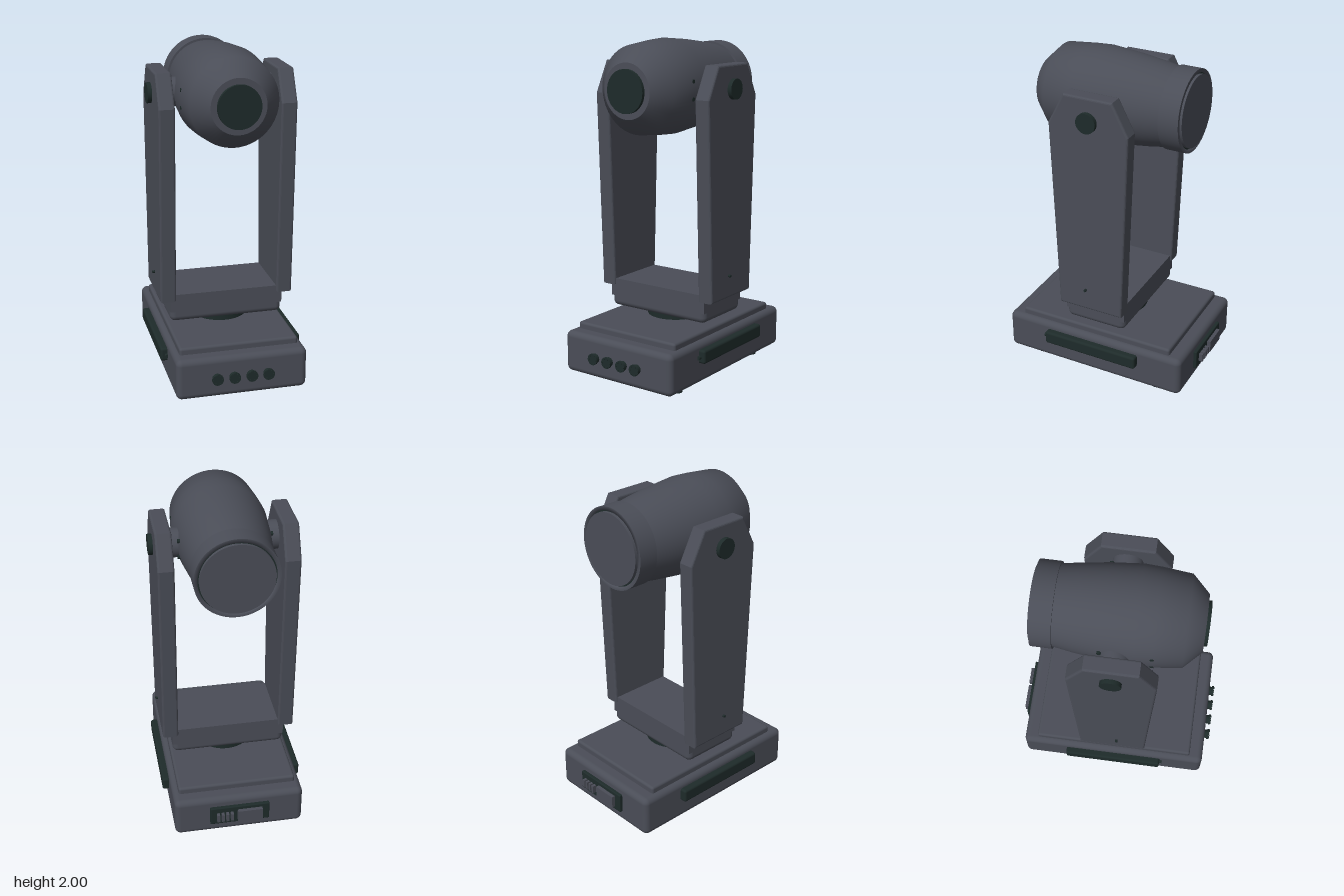
import * as THREE from 'three';
import { RoundedBoxGeometry } from 'three/addons/geometries/RoundedBoxGeometry.js';

export function createModel() {
  const model = new THREE.Group();
  const casing = new THREE.MeshStandardMaterial({ color: 0x4a4d57 });
  casing.name = 'casing grey';
  const dark = new THREE.MeshStandardMaterial({ color: 0x1e2b2a });
  dark.name = 'dark green black';

  const add = (name, geometry, material, x = 0, y = 0, z = 0, parent = model) => {
    const mesh = new THREE.Mesh(geometry, material);
    mesh.name = name;
    mesh.position.set(x, y, z);
    parent.add(mesh);
    return mesh;
  };
  const rounded = (w, h, d, r) => new RoundedBoxGeometry(w, h, d, 4, r);
  // Cylinders lying along one axis
  const cyl = (axis, r, length, sides = 32) => {
    const g = new THREE.CylinderGeometry(r, r, length, sides);
    if (axis === 'x') g.rotateZ(Math.PI / 2);
    if (axis === 'z') g.rotateX(Math.PI / 2);
    return g;
  };

  // Base housing with raised lid and feet
  add('baseHousing', rounded(0.78, 0.25, 1.17, 0.035), casing, 0, 0.16, 0);
  add('baseLid', rounded(0.71, 0.1, 1.0, 0.015), casing, 0, 0.275, 0);
  for (const x of [-0.295, 0.295])
    for (const z of [-0.4, 0.4]) add('foot', cyl('y', 0.036, 0.05, 24), dark, x, 0.025, z);

  // Front connectors
  for (const x of [-0.155, -0.053, 0.05, 0.15]) {
    add('connectorBody', cyl('z', 0.028, 0.04, 24), dark, x, 0.16, 0.596);
    add('connectorFlange', cyl('z', 0.034, 0.012, 24), dark, x, 0.16, 0.61);
    for (let i = 0; i < 6; i++) {
      const a = (i * Math.PI) / 3;
      add('connectorLug', cyl('z', 0.005, 0.006, 8), dark,
        x + 0.026 * Math.cos(a), 0.16 + 0.026 * Math.sin(a), 0.618);
    }
  }

  // Rear control panel
  add('controlPanel', rounded(0.36, 0.12, 0.04, 0.006), dark, 0, 0.168, -0.585);
  add('displayScreen', new THREE.BoxGeometry(0.15, 0.075, 0.03), casing, -0.06, 0.168, -0.612);
  for (let i = 0; i < 4; i++)
    add('panelButton', new THREE.BoxGeometry(0.017, 0.05, 0.03), casing, 0.05 + i * 0.028, 0.168, -0.615);

  // Pan bearing and yoke bridge
  add('panBearing', cyl('y', 0.17, 0.05, 48), dark, 0, 0.34, 0);
  add('yokeBridgeLower', rounded(0.69, 0.165, 0.39, 0.035), casing, 0, 0.4375, 0);
  add('yokeBridgeUpper', new THREE.BoxGeometry(0.69, 0.11, 0.39), casing, 0, 0.475, 0);

  // Tapered yoke arm outline; the bevel adds its own width
  const b = 0.012;
  const outline = [[-0.205, 0.49], [0.205, 0.49], [0.248, 1.67], [0.155, 1.86], [-0.155, 1.86], [-0.248, 1.67]]
    .map(([z, y]) => new THREE.Vector2(z - Math.sign(z) * b, y + (y < 1 ? b : y > 1.8 ? -b : 0)));
  const armGeometry = new THREE.ExtrudeGeometry(new THREE.Shape(outline), {
    depth: 0.095 - 2 * b, bevelEnabled: true, bevelThickness: b, bevelSize: b, bevelSegments: 3,
  });
  armGeometry.translate(0, 0, -(0.095 - 2 * b) / 2).rotateY(Math.PI / 2);

  for (const s of [-1, 1]) {
    add('yokeArm', armGeometry, casing, s * 0.3575, 0, 0);
    add('tiltHub', cyl('x', 0.085, 0.12), casing, s * 0.265, 1.72, 0);
    add('tiltKnob', cyl('x', 0.06, 0.04), dark, s * 0.41, 1.72, 0);
    add('armScrew', cyl('x', 0.008, 0.03, 12), dark, s * 0.405, 0.625, 0.028);
    add('sideHandle', rounded(0.06, 0.082, 0.615, 0.014), dark, s * 0.4, 0.204, 0.002);
    add('handlePin', cyl('z', 0.012, 0.04, 12), dark, s * 0.395, 0.2, 0.307);
    for (const z of [-0.083, 0.2])
      for (const y of [1.67, 1.77]) add('headBolt', cyl('x', 0.012, 0.03, 12), dark, s * 0.256, y, z);
  }

  // Lamp head, turned around the z axis
  const head = new THREE.Group();
  head.name = 'lampHead';
  head.position.y = 1.72;
  model.add(head);
  const turned = (points) =>
    new THREE.LatheGeometry(points.map(([r, z]) => new THREE.Vector2(r, z)), 64).rotateX(Math.PI / 2);
  add('headShell', turned([[0.225, -0.36], [0.228, -0.34], [0.245, -0.24], [0.265, -0.08],
    [0.28, 0.1], [0.274, 0.2], [0.257, 0.365], [0.16, 0.464]]), casing, 0, 0, 0, head);
  add('headNose', cyl('z', 0.16, 0.02, 64), casing, 0, 0, 0.454, head);
  add('rearCap', cyl('z', 0.125, 0.04, 48), dark, 0, 0, 0.464, head);

  // Front bezel ring with groove and lens
  add('lensRing', turned([[0.218, -0.44], [0.218, -0.465], [0.24, -0.465], [0.24, -0.465],
    [0.24, -0.345], [0.24, -0.345], [0.2, -0.345]]), casing, 0, 0, 0, head);
  add('lensGroove', cyl('z', 0.222, 0.02, 64), dark, 0, 0, -0.446, head);
  add('lensPlate', cyl('z', 0.21, 0.04, 64), casing, 0, 0, -0.455, head);

  return model;
}
